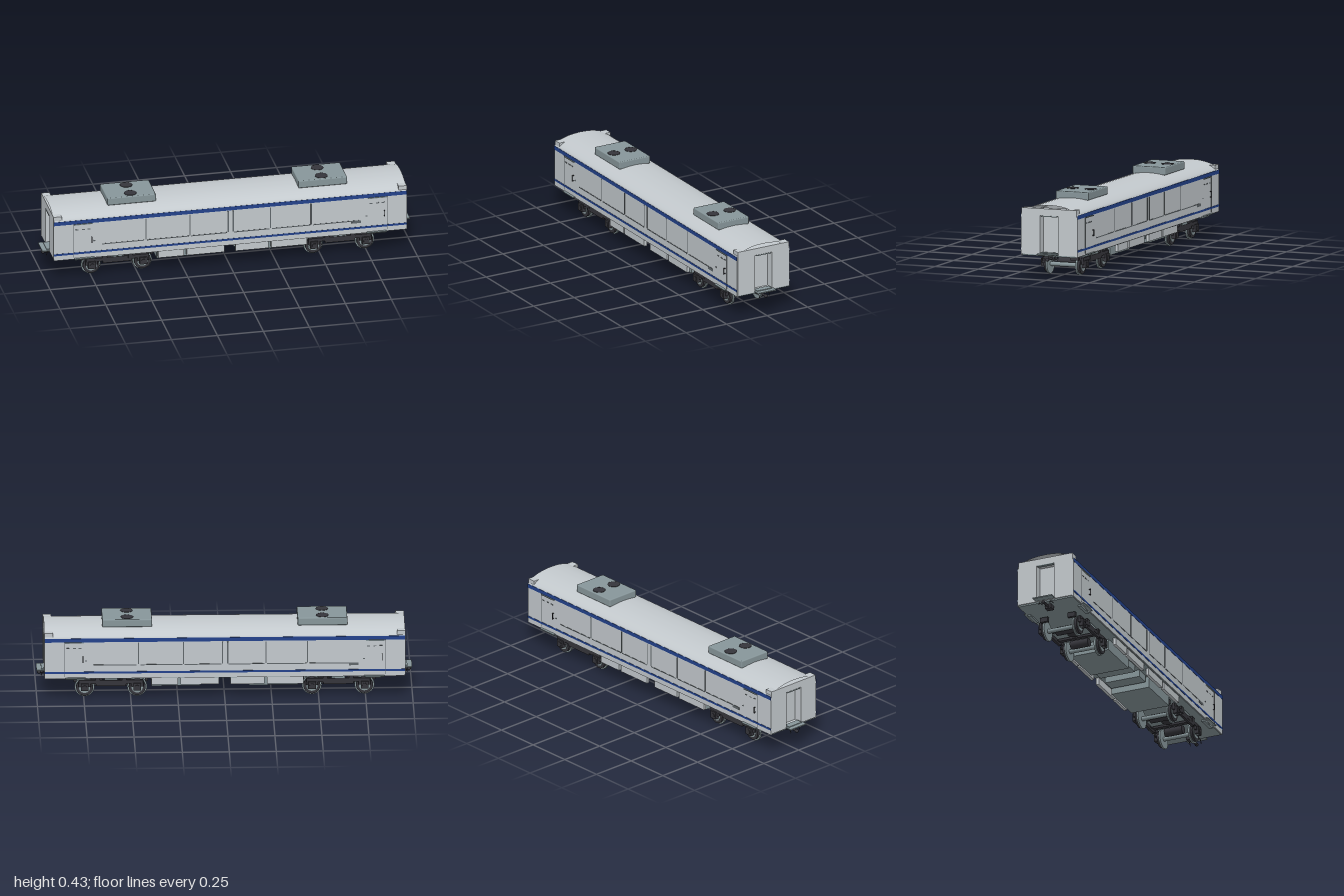
import * as THREE from 'three';
import { RoundedBoxGeometry } from 'three/addons/geometries/RoundedBoxGeometry.js';

const mat = (name, color, side = THREE.FrontSide) => {
  const m = new THREE.MeshStandardMaterial({ color, side });
  m.name = name;
  return m;
};

export function createModel() {
  const silver = mat('silver', 0xc3c9cd);
  const roofSilver = mat('roofSilver', 0xc3c9cd, THREE.DoubleSide);
  const grey = mat('grey', 0x87969a);
  const dark = mat('darkIron', 0x35353b);
  const seam = mat('seamGrey', 0x5f666a);
  const blue = mat('blue', 0x23428c);
  const root = new THREE.Group();
  root.name = 'railCoach';

  const add = (parent, name, geo, material, x = 0, y = 0, z = 0) => {
    const m = new THREE.Mesh(geo, material);
    m.name = name;
    m.position.set(x, y, z);
    parent.add(m);
    return m;
  };
  // Box given by its limits
  const box = (parent, name, material, x0, x1, y0, y1, z0, z1) =>
    add(parent, name, new THREE.BoxGeometry(x1 - x0, y1 - y0, z1 - z0), material,
      (x0 + x1) / 2, (y0 + y1) / 2, (z0 + z1) / 2);
  // Cylinder lying across the coach
  const axleCyl = (parent, name, material, r, len, x, y, z, seg = 24) =>
    add(parent, name, new THREE.CylinderGeometry(r, r, len, seg).rotateX(Math.PI / 2), material, x, y, z);

  // Arched roof: an open sheet swept along the coach
  const half = new THREE.CatmullRomCurve3([
    [0.163, 0.34], [0.16, 0.353], [0.147, 0.365], [0.115, 0.381], [0.06, 0.394], [0, 0.398],
  ].map(([z, y]) => new THREE.Vector3(0, y, z))).getPoints(14);
  const profile = [...half, ...half.slice(0, -1).reverse().map(p => new THREE.Vector3(0, p.y, -p.z))];
  const pos = [], idx = [];
  profile.forEach((p, i) => {
    pos.push(-0.96, p.y, p.z, 0.96, p.y, p.z);
    if (i) {
      const a = 2 * i - 2;
      idx.push(a, a + 1, a + 2, a + 1, a + 3, a + 2);
    }
  });
  const roofGeo = new THREE.BufferGeometry();
  roofGeo.setAttribute('position', new THREE.Float32BufferAttribute(pos, 3));
  roofGeo.setIndex(idx);
  roofGeo.computeVertexNormals();
  add(root, 'roof', roofGeo, roofSilver);

  box(root, 'floor', grey, -0.955, 0.955, 0.122, 0.13, -0.158, 0.158);

  // Side walls; the second side is the first turned half round
  for (const turn of [0, Math.PI]) {
    const side = new THREE.Group();
    side.name = turn ? 'backSide' : 'frontSide';
    side.rotation.y = turn;
    root.add(side);
    const plate = (name, m, x0, x1, y0, y1, t = 0.0015) => box(side, name, m, x0, x1, y0, y1, 0.163, 0.163 + t);
    box(side, 'sideWall', silver, -0.96, 0.96, 0.125, 0.342, 0.156, 0.163);
    plate('upperStripe', blue, -0.96, 0.96, 0.329, 0.35);
    plate('lowerStripe', blue, -0.96, 0.96, 0.152, 0.163);

    // Window frame lines
    for (const x of [-0.46, -0.22, -0.012, 0.015, 0.218, 0.44])
      plate('windowPost', seam, x - 0.003, x + 0.003, 0.203, 0.325);
    for (const [a, b] of [[-0.7, -0.47], [-0.45, -0.225], [-0.215, -0.018], [0.02, 0.212], [0.225, 0.435], [0.45, 0.7]])
      plate('windowSill', seam, a, b, 0.197, 0.202);
    plate('sideVent', seam, 0.66, 0.71, 0.186, 0.2);

    // Doors with gutter, handrail, marker plates and step
    for (const s of [-1, 1]) {
      plate('doorSeam', seam, s * 0.853 - 0.0015, s * 0.853 + 0.0015, 0.135, 0.328);
      box(side, 'doorGutter', grey, s * 0.8 - 0.05, s * 0.8 + 0.05, 0.324, 0.329, 0.163, 0.169);
      const hx = s < 0 ? -0.755 : 0.838;
      box(side, 'handrail', dark, hx - 0.002, hx + 0.002, 0.215, 0.25, 0.171, 0.174);
      for (const y of [0.217, 0.246]) box(side, 'railBracket', dark, hx - 0.002, hx + 0.002, y, y + 0.003, 0.163, 0.172);
      for (const dx of [-0.035, 0, 0.03])
        plate('markerPlate', seam, s * 0.8 + dx - 0.008, s * 0.8 + dx + 0.008, 0.292, 0.297);
      plate('lockPlate', seam, s * 0.74 - 0.005, s * 0.74 + 0.005, 0.22, 0.226);
      box(side, 'doorStep', grey, s * 0.795 - 0.054, s * 0.795 + 0.054, 0.126, 0.13, 0.155, 0.177);
      box(side, 'stepSupport', grey, s * 0.795 - 0.05, s * 0.795 + 0.05, 0.114, 0.126, 0.138, 0.157);
    }
    // Hanging equipment panels along the edge
    for (const [a, b] of [[-0.39, -0.25], [-0.235, -0.03], [0.03, 0.21], [0.225, 0.42]])
      box(side, 'underPanel', silver, a, b, 0.083, 0.124, 0.137, 0.154);
  }

  // Ends with gangway recess, sill and coupler; built for +x then turned
  for (const turn of [0, Math.PI]) {
    const end = new THREE.Group();
    end.name = turn ? 'rightEnd' : 'leftEnd';
    end.rotation.y = turn;
    root.add(end);
    const rect = (T, w, y0, y1) => new T([[-w, y0], [w, y0], [w, y1], [-w, y1]].map(p => new THREE.Vector2(...p)));
    const wall = rect(THREE.Shape, 0.158, 0.13, 0.378);
    wall.holes.push(rect(THREE.Path, 0.052, 0.136, 0.34));
    const wallGeo = new THREE.ExtrudeGeometry(wall, { depth: 0.045, bevelEnabled: false });
    wallGeo.rotateY(Math.PI / 2);
    add(end, 'endWall', wallGeo, silver, 0.916);
    box(end, 'endDoor', silver, 0.91, 0.916, 0.13, 0.345, -0.06, 0.06);
    box(end, 'doorLintel', grey, 0.945, 0.963, 0.335, 0.34, -0.045, 0.045);
    box(end, 'gangwaySill', grey, 0.94, 1.0, 0.132, 0.138, -0.056, 0.056);
    box(end, 'sillLip', grey, 0.94, 0.975, 0.138, 0.142, -0.045, 0.045);
    add(end, 'couplerBar', new THREE.CylinderGeometry(0.006, 0.006, 0.085, 12).rotateZ(Math.PI / 2), dark, 0.94, 0.108, 0);
    add(end, 'couplerHead', new THREE.SphereGeometry(0.01, 14, 10), dark, 0.985, 0.108, 0);
    box(end, 'couplerMount', dark, 0.89, 0.925, 0.098, 0.124, -0.018, 0.018);
    for (const s of [-1, 1]) {
      const hose = new THREE.CatmullRomCurve3([[0.93, 0.122], [0.965, 0.118], [0.975, 0.1]]
        .map(([x, y]) => new THREE.Vector3(x, y, s * 0.032)));
      add(end, 'hose', new THREE.TubeGeometry(hose, 8, 0.0022, 6), dark);
    }
  }

  // Roof cooling units
  for (const cx of [-0.522, 0.518]) {
    const unit = new THREE.Group();
    unit.name = 'coolingUnit';
    unit.position.x = cx;
    root.add(unit);
    add(unit, 'coolingCase', new RoundedBoxGeometry(0.265, 0.043, 0.19, 2, 0.006), grey, 0, 0.4095, 0);
    for (const z of [-0.052, 0.052]) {
      add(unit, 'fan', new THREE.CylinderGeometry(0.032, 0.032, 0.002, 28), dark, 0, 0.4315, z);
      add(unit, 'fanRim', new THREE.TorusGeometry(0.032, 0.0015, 6, 28).rotateX(Math.PI / 2), dark, 0, 0.4315, z);
    }
  }

  // Equipment boxes under the floor
  for (const s of [-1, 1]) {
    const m = s * 0.26;
    box(root, 'equipmentBox', grey, m - 0.13, m + 0.13, 0.061, 0.123, -0.11, 0.11);
    box(root, 'equipmentTray', grey, s * 0.07 - 0.04, s * 0.07 + 0.04, 0.084, 0.123, -0.1, 0.1);
  }

  // Bogies
  for (const cx of [-0.605, 0.605]) {
    const bogie = new THREE.Group();
    bogie.name = 'bogie';
    bogie.position.x = cx;
    root.add(bogie);
    box(bogie, 'bolster', grey, -0.035, 0.035, 0.085, 0.112, -0.118, 0.118);
    add(bogie, 'centrePivot', new THREE.CylinderGeometry(0.03, 0.03, 0.045, 20), dark, 0, 0.1, 0);
    for (const x of [-0.14, 0.14]) {
      axleCyl(bogie, 'axle', grey, 0.012, 0.24, x, 0.053, 0);
      axleCyl(bogie, 'motor', dark, 0.023, 0.104, x - Math.sign(x) * 0.045, 0.065, 0);
      for (const s of [-1, 1]) {
        axleCyl(bogie, 'wheelFlange', grey, 0.053, 0.01, x, 0.053, s * 0.086, 32);
        axleCyl(bogie, 'wheelTread', dark, 0.045, 0.013, x, 0.053, s * 0.0975, 32);
        axleCyl(bogie, 'wheelHub', grey, 0.03, 0.003, x, 0.053, s * 0.105);
        box(bogie, 'axleBox', dark, x - 0.02, x + 0.02, 0.042, 0.082, s * 0.118 - 0.012, s * 0.118 + 0.012);
        axleCyl(bogie, 'axleCap', dark, 0.013, 0.008, x, 0.06, s * 0.129, 16);
        for (const dx of [-0.025, 0.025])
          add(bogie, 'spring', new THREE.CylinderGeometry(0.008, 0.008, 0.035, 10), dark, x + dx, 0.078, s * 0.113);
      }
    }
    for (const s of [-1, 1]) {
      box(bogie, 'sideFrame', dark, -0.17, 0.17, 0.078, 0.098, s * 0.113 - 0.008, s * 0.113 + 0.008);
      box(bogie, 'frameDrop', dark, -0.08, 0.08, 0.066, 0.082, s * 0.113 - 0.007, s * 0.113 + 0.007);
      for (const x of [-0.07, 0.07])
        box(bogie, 'damper', dark, x - 0.012, x + 0.012, 0.082, 0.115, s * 0.113 - 0.009, s * 0.113 + 0.009);
      for (const x of [-0.19, 0.19])
        box(bogie, 'brakeHanger', dark, x - 0.008, x + 0.008, 0.085, 0.111, s * 0.08 - 0.022, s * 0.08 + 0.022);
    }
    for (const x of [-0.06, 0.06])
      box(bogie, 'crossBeam', dark, x - 0.012, x + 0.012, 0.08, 0.1, -0.108, 0.108);
  }
  return root;
}
